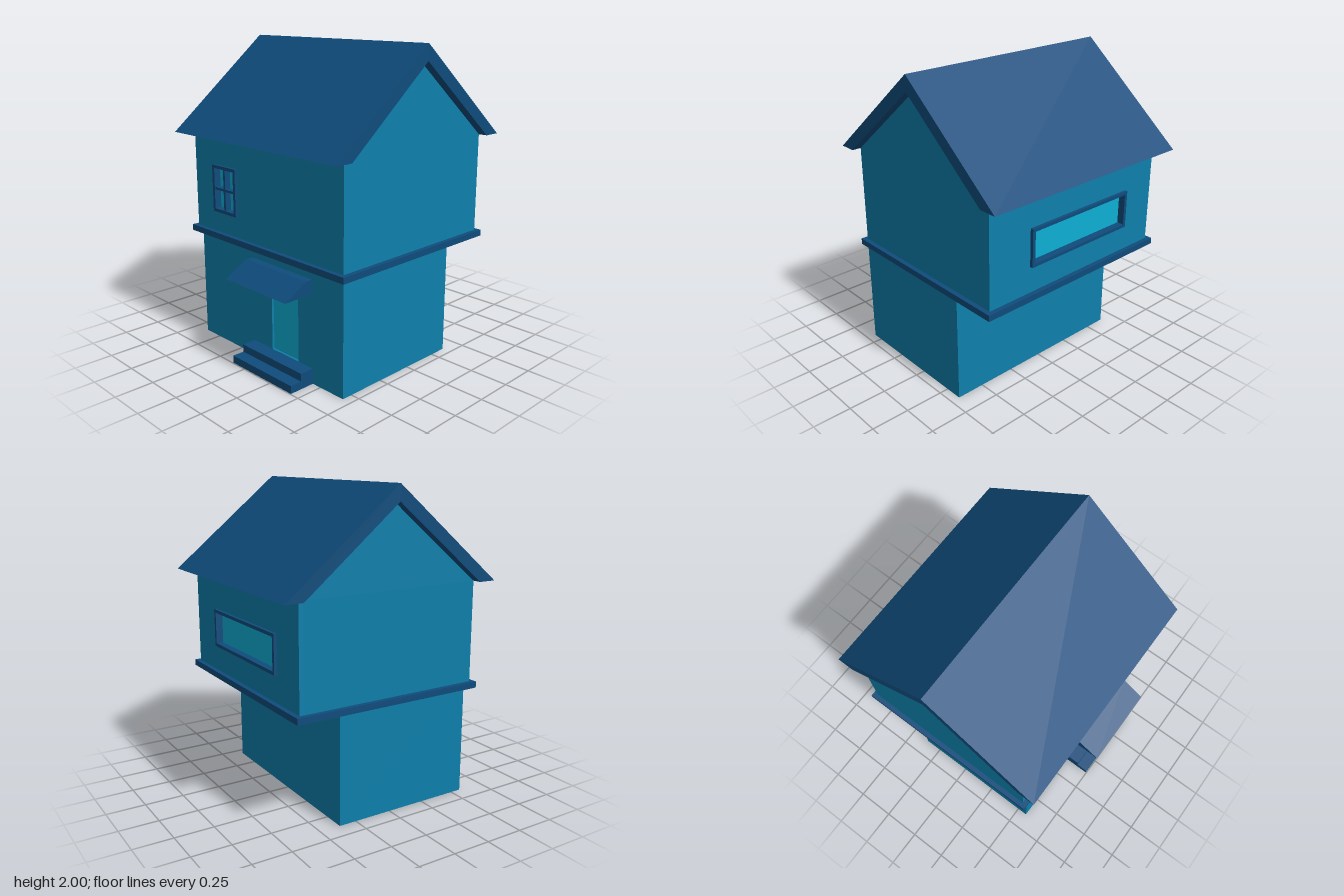
import * as THREE from 'three';

const material = (color) => new THREE.MeshStandardMaterial({ color });

export function createModel() {
  const house = new THREE.Group();
  house.name = 'house';
  const wall = material(0x0e7fab), trim = material(0x0f4c7c), light = material(0x0eaed4);

  const add = (name, geometry, mat, parent = house) => {
    const mesh = new THREE.Mesh(geometry, mat);
    mesh.name = name;
    parent.add(mesh);
    return mesh;
  };

  // Box given by its extents on each axis
  const box = (name, [x0, x1], [y0, y1], [z0, z1], mat, parent) => {
    const g = new THREE.BoxGeometry(x1 - x0, y1 - y0, z1 - z0);
    g.translate((x0 + x1) / 2, (y0 + y1) / 2, (z0 + z1) / 2);
    return add(name, g, mat, parent);
  };

  // Side profile of [z, y] points, extruded along x
  const profile = (name, points, [x0, x1], mat) => {
    const shape = new THREE.Shape(points.map(([z, y]) => new THREE.Vector2(z, y)));
    const g = new THREE.ExtrudeGeometry(shape, { depth: x1 - x0, bevelEnabled: false });
    g.rotateY(-Math.PI / 2).translate(x1, 0, 0);
    return add(name, g, mat);
  };

  // Rectangular panel with a rectangular opening, from z0 to z1
  const pierced = (name, [x0, x1], [y0, y1], [a0, a1], [b0, b1], [z0, z1], mat, parent) => {
    const rect = (C, l, r, b, t) => new C([[l, b], [r, b], [r, t], [l, t]].map((p) => new THREE.Vector2(...p)));
    const shape = rect(THREE.Shape, x0, x1, y0, y1);
    shape.holes.push(rect(THREE.Path, a0, a1, b0, b1));
    const g = new THREE.ExtrudeGeometry(shape, { depth: z1 - z0, bevelEnabled: false });
    g.translate(0, 0, z0);
    return add(name, g, mat, parent);
  };

  const lowerX = [-0.64, 0.69], upperX = [-0.69, 0.69], porchX = [-0.115, 0.435];
  const front = 0.57, back = -0.66, ridge = -0.045;

  // Ground floor with a slightly recessed door
  const doorX = [0.065, 0.31], doorY = [0.1, 0.58];
  box('lowerStorey', lowerX, [0, 0.72], [-0.365, front - 0.02], wall);
  pierced('lowerFrontWall', lowerX, [0, 0.72], doorX, doorY, [front - 0.02, front], wall);
  box('door', doorX, doorY, [front - 0.03, front - 0.015], light);

  // Steps and sloping door canopy
  profile('steps', [[front, 0], [0.745, 0], [0.745, 0.05], [0.665, 0.05], [0.665, 0.1], [front, 0.1]], porchX, trim);
  profile('canopy', [[front, 0.575], [0.78, 0.575], [0.62, 0.665], [front, 0.665]], porchX, trim);

  // Ledge between the floors
  box('ledge', [-0.72, 0.72], [0.72, 0.76], [-0.69, 0.6], trim);

  // Upper floor and gables, leaving room for the pierced walls
  const inFront = front - 0.03, inBack = back + 0.03;
  profile('upperStorey', [[inBack, 0.76], [inFront, 0.76], [inFront, 1.4], [front, 1.4],
    [ridge, 1.9], [back, 1.4], [inBack, 1.4]], upperX, wall);

  // Framed windows, set into the walls
  const edge = 0.02;
  const addWindow = (name, [x0, x1], [y0, y1], wallZ, glassZ, frameZ) => {
    const win = new THREE.Group();
    win.name = name;
    house.add(win);
    const ix = [x0 + edge, x1 - edge], iy = [y0 + edge, y1 - edge];
    pierced(name + 'Wall', upperX, [0.76, 1.4], ix, iy, wallZ, wall);
    pierced(name + 'Frame', [x0, x1], [y0, y1], [ix[0] + 0.001, ix[1] - 0.001],
      [iy[0] + 0.001, iy[1] - 0.001], frameZ, trim, win);
    box(name + 'Glass', ix, iy, glassZ, light, win);
    return { win, ix, iy };
  };
  const { win, ix, iy } = addWindow('frontWindow', [-0.485, -0.25], [0.9, 1.21],
    [inFront, front], [inFront - 0.01, inFront + 0.004], [inFront, front + 0.02]);
  const cx = (ix[0] + ix[1]) / 2, cy = (iy[0] + iy[1]) / 2, barZ = [inFront, front + 0.015];
  box('verticalBar', [cx - 0.009, cx + 0.009], iy, barZ, trim, win);
  box('horizontalBar', ix, [cy - 0.008, cy + 0.008], barZ, trim, win);

  addWindow('backWindow', [-0.44, 0.38], [0.93, 1.175],
    [back, inBack], [inBack - 0.004, inBack + 0.01], [back - 0.02, inBack]);

  // Gabled roof with overhanging eaves
  profile('roof', [[front, 1.4], [0.685, 1.4], [ridge, 2], [-0.775, 1.4], [back, 1.4], [ridge, 1.9]],
    [-0.75, 0.75], trim);

  return house;
}
